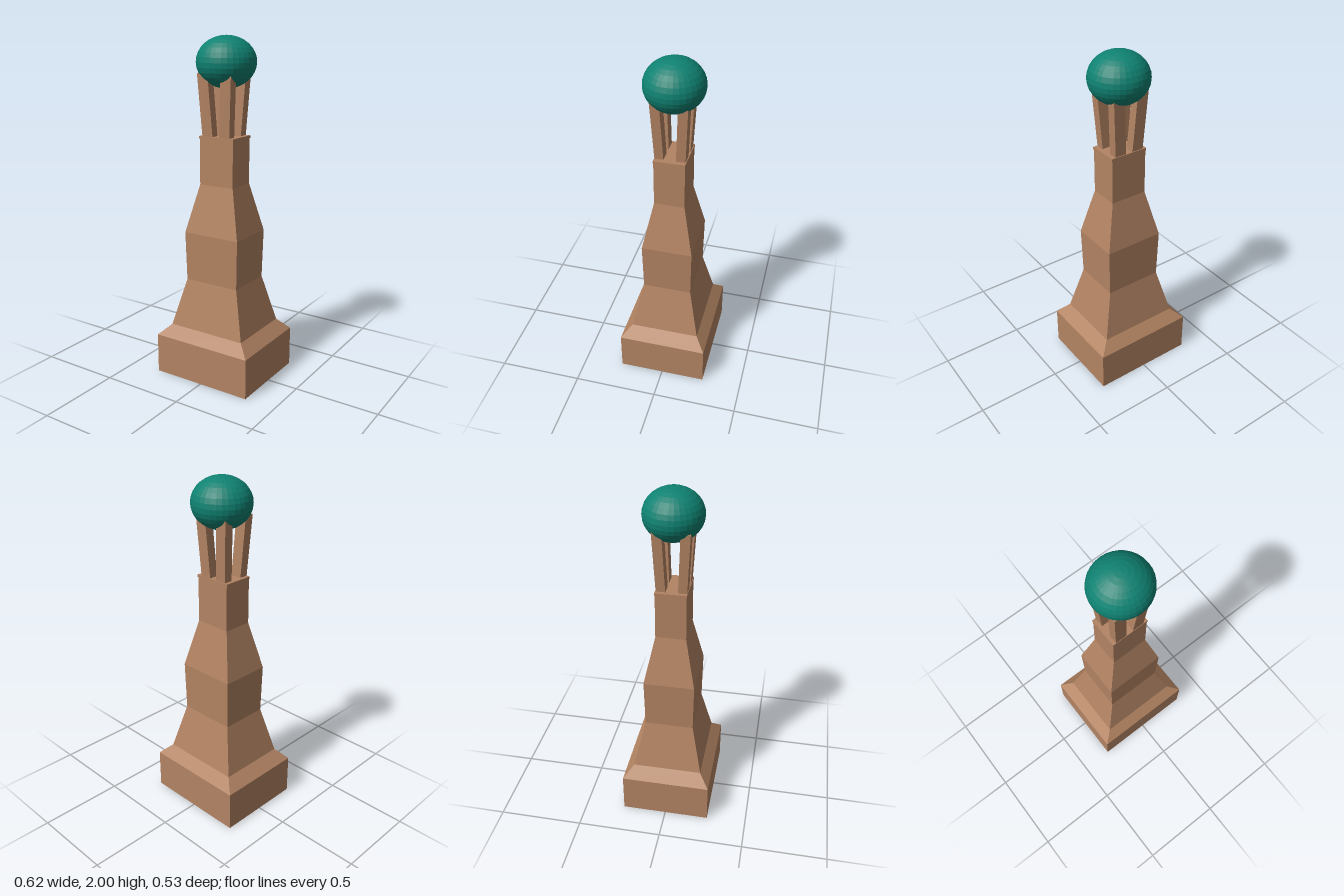
import * as THREE from 'three';

const stone = new THREE.MeshStandardMaterial({ color: 0xb38463 });
stone.name = 'brown stone';
const teal = new THREE.MeshStandardMaterial({ color: 0x0f8272 });
teal.name = 'teal';

// Closed, faceted solid through rectangles [y, x0, x1, z0, z1], listed upwards
function loft(sections) {
  const rings = sections.map(([y, x0, x1, z0, z1]) =>
    [[x0, y, z1], [x1, y, z1], [x1, y, z0], [x0, y, z0]]);
  const pos = [];
  const quad = (a, b, c, d) => pos.push(...a, ...b, ...c, ...a, ...c, ...d);
  for (let i = 0; i < rings.length - 1; i++) {
    const low = rings[i], high = rings[i + 1];
    for (let j = 0; j < 4; j++) {
      const k = (j + 1) % 4;
      quad(low[j], low[k], high[k], high[j]);
    }
  }
  const [a, b, c, d] = rings[0];
  quad(d, c, b, a);
  quad(...rings[rings.length - 1]);
  const geo = new THREE.BufferGeometry();
  geo.setAttribute('position', new THREE.Float32BufferAttribute(pos, 3));
  geo.computeVertexNormals();
  return geo;
}

export function createModel() {
  const model = new THREE.Group();
  model.name = 'tower';
  const add = (name, geo, mat) => {
    const mesh = new THREE.Mesh(geo, mat);
    mesh.name = name;
    model.add(mesh);
    return mesh;
  };

  // Stepped, tapering tower: height, half width, half depth
  const profile = [
    [0, 0.312, 0.263], [0.24, 0.312, 0.263], [0.305, 0.244, 0.205],
    [0.59, 0.172, 0.143], [0.88, 0.179, 0.148], [1.165, 0.111, 0.088],
    [1.43, 0.111, 0.088], [1.43, 0.115, 0.09], [1.445, 0.115, 0.09],
  ];
  add('towerBody', loft(profile.map(([y, w, d]) => [y, -w, w, -d, d])), stone);

  // Four struts leaning outward from the tower top into the globe
  const strutX = {
    Left: [[0.018, 0.087], [0.04, 0.109]],
    Right: [[-0.093, -0.024], [-0.114, -0.045]],
  };
  const strutZ = {
    front: [[0.037, 0.087], [0.053, 0.106]],
    back: [[-0.085, -0.032], [-0.102, -0.048]],
  };
  for (const [end, z] of Object.entries(strutZ)) {
    for (const [side, x] of Object.entries(strutX)) {
      add(`${end}${side}Strut`,
        loft([[1.435, ...x[0], ...z[0]], [1.795, ...x[1], ...z[1]]]), stone);
    }
  }

  // Faceted, slightly flattened globe
  const globeGeo = new THREE.SphereGeometry(1, 32, 16).scale(0.171, 0.145, 0.168).toNonIndexed();
  globeGeo.computeVertexNormals();
  add('globe', globeGeo, teal).position.set(0.008, 1.855, -0.005);

  return model;
}
